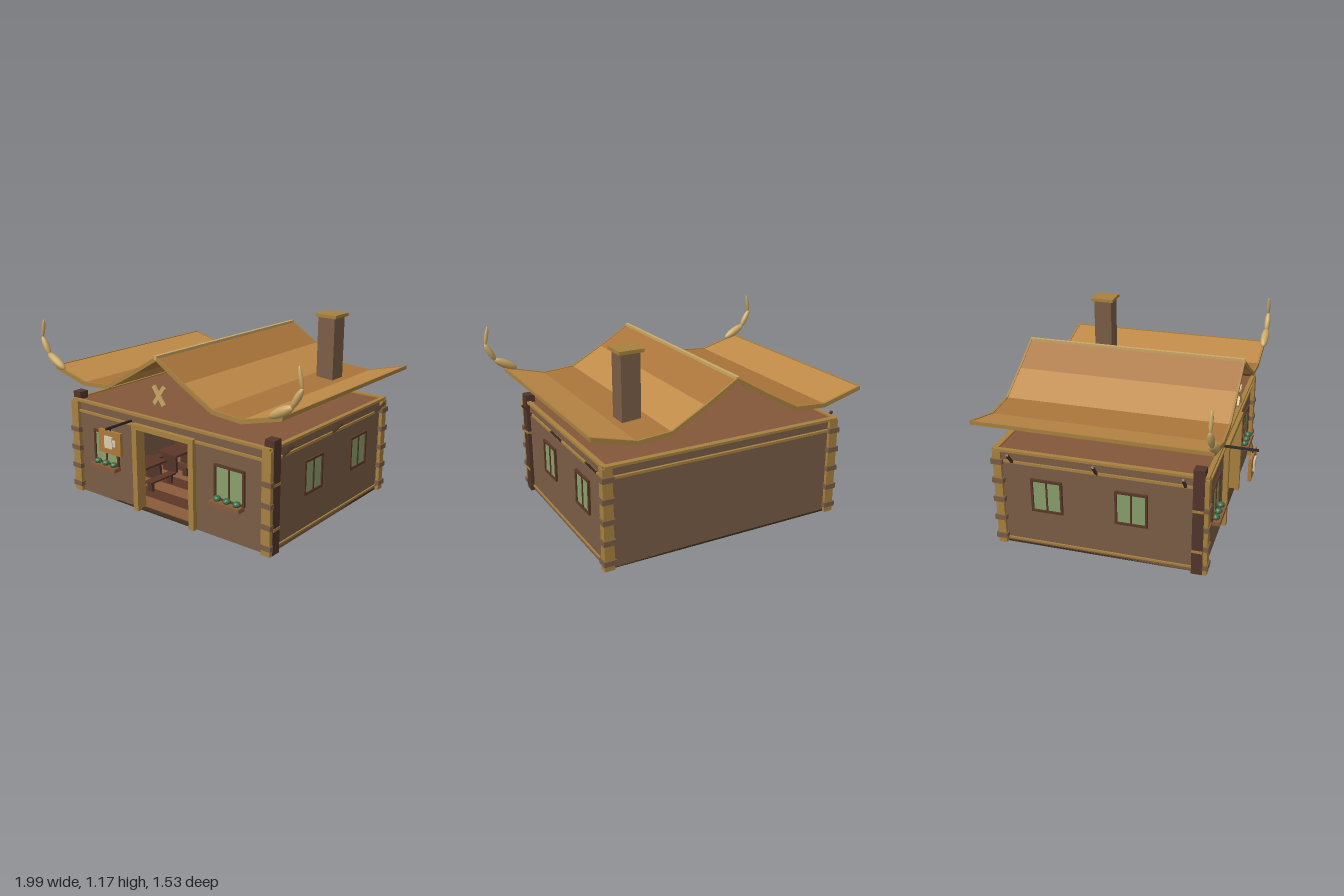
import * as THREE from 'three';

const C = {
  wall: 0x7a5d46, tan: 0xa8803f, dark: 0x51352a, frame: 0x5a3826, glass: 0x88a06c, floor: 0x40301f,
  plankA: 0x8a5c3a, plankB: 0x5c3626, ceil: 0x84583a, roofA: 0xbf8a48, roofB: 0xa9743a, horn: 0xc9a765,
  iron: 0x2c2c2c, leaf: 0x3c6b45, counter: 0x8a5a38, sign: 0xae7838, pale: 0xd8ccb0, glow: 0xe0a850,
};
const mats = {};
const mat = (c) => (mats[c] ??= new THREE.MeshStandardMaterial({ color: C[c], flatShading: c !== 'horn' }));

function add(parent, name, geo, c, x = 0, y = 0, z = 0) {
  const m = new THREE.Mesh(geo, mat(c));
  m.name = name;
  m.position.set(x, y, z);
  parent.add(m);
  return m;
}
// Box given by its min and max on each axis
const box = (p, name, c, x0, x1, y0, y1, z0, z1) =>
  add(p, name, new THREE.BoxGeometry(x1 - x0, y1 - y0, z1 - z0), c, (x0 + x1) / 2, (y0 + y1) / 2, (z0 + z1) / 2);
// Same box on both sides of x = 0
function pair(p, name, c, x0, x1, ...r) {
  box(p, name, c, x0, x1, ...r);
  box(p, name, c, -x1, -x0, ...r);
}
function group(parent, name) {
  const g = new THREE.Group();
  g.name = name;
  parent.add(g);
  return g;
}

// Two-pane window facing +z, centred on its origin
function makeWindow(parent, w, h) {
  const g = group(parent, 'window'), t = 0.014;
  box(g, 'glass', 'glass', -w / 2, w / 2, -h / 2, h / 2, 0, 0.006);
  for (const s of [-1, 1]) {
    box(g, 'frameSide', 'frame', s * w / 2 - t / 2, s * w / 2 + t / 2, -h / 2 - t / 2, h / 2 + t / 2, 0, 0.014);
    box(g, 'frameRail', 'frame', -w / 2, w / 2, s * h / 2 - t / 2, s * h / 2 + t / 2, 0, 0.014);
  }
  box(g, 'mullion', 'frame', -0.005, 0.005, -h / 2, h / 2, 0, 0.012);
  return g;
}

function buildWalls(root) {
  const g = group(root, 'walls');
  // Front wall with doorway
  const s = new THREE.Shape();
  [[-0.75, 0], [-0.21, 0], [-0.21, 0.54], [0.21, 0.54], [0.21, 0], [0.75, 0], [0.75, 0.615], [-0.75, 0.615]]
    .forEach(([x, y], i) => (i ? s.lineTo(x, y) : s.moveTo(x, y)));
  add(g, 'frontWall', new THREE.ExtrudeGeometry(s, { depth: 0.03, bevelEnabled: false }), 'wall', 0, 0, 0.525);
  box(g, 'backWall', 'wall', -0.75, 0.75, 0, 0.615, -0.67, -0.64);
  pair(g, 'sideWall', 'wall', 0.73, 0.76, 0, 0.615, -0.66, 0.55);
  box(g, 'base', 'floor', -0.76, 0.76, 0, 0.012, -0.67, 0.555);
  box(g, 'ceiling', 'ceil', -0.75, 0.75, 0.6, 0.617, -0.67, 0.55);
  // Horizontal trim beams
  for (const [y0, y1, e] of [[0.54, 0.555, 0.012], [0.61, 0.625, 0.02]]) {
    box(g, 'frontBeam', 'tan', -0.77, 0.77, y0, y1, 0.55, 0.556 + e);
    box(g, 'backBeam', 'tan', -0.77, 0.77, y0, y1, -0.675 - e, -0.66);
    pair(g, 'sideBeam', 'tan', 0.75, 0.758 + e, y0, y1, -0.68, 0.56);
  }
  pair(g, 'sillBeam', 'tan', 0.755, 0.769, 0.027, 0.038, -0.64, 0.5);
  // Corner posts with log ends
  pair(g, 'frontCornerPost', 'dark', 0.722, 0.784, 0, 0.665, 0.49, 0.555);
  pair(g, 'frontCornerBoard', 'tan', 0.722, 0.782, 0, 0.61, 0.555, 0.58);
  pair(g, 'backCornerPost', 'tan', 0.722, 0.782, 0, 0.61, -0.69, -0.64);
  for (let i = 0; i < 5; i++) {
    const y = 0.05 + i * 0.124;
    if (i < 4) pair(g, 'frontLogEnd', 'wall', 0.715, 0.79, y - 0.015, y + 0.015, 0.556, 0.587);
    pair(g, 'backLogEnd', 'wall', 0.715, 0.79, y - 0.016, y + 0.016, -0.7, -0.63);
  }
  for (const y of [0.15, 0.41]) pair(g, 'postBand', 'tan', 0.722, 0.787, y - 0.008, y + 0.008, 0.49, 0.553);
  // Slanted roof struts
  for (const z of [0.445, -0.065, -0.575]) for (const k of [-1, 1]) {
    const m = add(g, 'strut', new THREE.BoxGeometry(0.014, 0.1, 0.014), 'dark', k * 0.795, 0.582, z);
    m.rotation.z = -k * 0.7;
  }
}

function buildOpenings(root) {
  const g = group(root, 'openings');
  pair(g, 'doorPost', 'tan', 0.205, 0.243, 0, 0.56, 0.515, 0.586);
  box(g, 'doorLintel', 'tan', -0.243, 0.243, 0.53, 0.562, 0.52, 0.586);
  for (const k of [-1, 1]) {
    makeWindow(g, 0.2, 0.2).position.set(k * 0.49, 0.345, 0.555);
    const cx = k * 0.485;
    box(g, 'flowerBox', 'counter', cx - 0.108, cx + 0.108, 0.215, 0.24, 0.555, 0.612);
    for (let i = -1; i <= 1; i++) {
      const leaf = add(g, 'plant', new THREE.IcosahedronGeometry(0.024, 1), 'leaf', cx + i * 0.07, 0.252, 0.58);
      leaf.scale.y = 0.8;
    }
    for (const z of [0.135, -0.372]) {
      const w = makeWindow(g, 0.178, 0.198);
      w.position.set(k * 0.76, 0.35, z);
      w.rotation.y = k * Math.PI / 2;
    }
  }
}

function buildInterior(root) {
  const g = group(root, 'interior');
  // Floor planks running across
  for (let i = 0; i < 10; i++) {
    const z = -0.64 + i * 0.1165;
    box(g, 'floorPlank', i % 2 ? 'plankA' : 'plankB', -0.73, 0.73, 0.012, 0.018, z, z + 0.1165);
  }
  // Bar counter
  box(g, 'counter', 'counter', -0.37, 0.37, 0.018, 0.18, -0.48, -0.38);
  box(g, 'counterTop', 'dark', -0.39, 0.39, 0.18, 0.198, -0.5, -0.36);
  for (const x of [-0.18, 0, 0.18]) box(g, 'counterSeam', 'frame', x - 0.004, x + 0.004, 0.018, 0.18, -0.38, -0.377);
  // Tables with benches along both sides
  for (const k of [-1, 1]) for (const z of [-0.1, 0.24]) {
    const t = group(g, 'tableSet');
    t.position.set(k * 0.48, 0, z);
    box(t, 'tableTop', 'plankB', -0.085, 0.085, 0.14, 0.155, -0.12, 0.12);
    for (const s of [-1, 1]) {
      box(t, 'tableLeg', 'dark', -0.06, 0.06, 0.018, 0.14, s * 0.09 - 0.01, s * 0.09 + 0.01);
      box(t, 'bench', 'plankB', s * 0.14 - 0.03, s * 0.14 + 0.03, 0.075, 0.087, -0.12, 0.12);
      for (const e of [-1, 1])
        box(t, 'benchLeg', 'dark', s * 0.14 - 0.02, s * 0.14 + 0.02, 0.018, 0.075, e * 0.09 - 0.01, e * 0.09 + 0.01);
    }
  }
  // Hanging lantern
  const l = group(g, 'lantern');
  l.position.set(0, 0.445, 0.3);
  box(l, 'lanternGlow', 'glow', -0.02, 0.02, -0.03, 0.03, -0.02, 0.02);
  for (const y of [-0.035, 0.035]) box(l, 'lanternPlate', 'iron', -0.027, 0.027, y - 0.005, y + 0.005, -0.027, 0.027);
  for (const x of [-1, 1]) for (const z of [-1, 1])
    box(l, 'lanternBar', 'iron', x * 0.024 - 0.003, x * 0.024 + 0.003, -0.035, 0.035, z * 0.024 - 0.003, z * 0.024 + 0.003);
  box(l, 'lanternRod', 'iron', -0.003, 0.003, 0.035, 0.155, -0.003, 0.003);
}

function buildRoof(root) {
  const g = group(root, 'roof');
  const pts = [[0, 1.01], [0.2, 0.89], [0.405, 0.777], [0.61, 0.762], [0.87, 0.83]];
  const strip = (name, c, a, b, t, z0, z1, lift) => {
    const s = new THREE.Shape();
    s.moveTo(a[0], a[1] + lift);
    s.lineTo(a[0], a[1] - t);
    s.lineTo(b[0], b[1] - t);
    s.lineTo(b[0], b[1] + lift);
    add(g, name, new THREE.ExtrudeGeometry(s, { depth: z1 - z0, bevelEnabled: false }), c, 0, 0, z0);
  };
  for (const k of [-1, 1]) {
    for (let i = 0; i < 4; i++) {
      let a = [k * pts[i][0], pts[i][1]], b = [k * pts[i + 1][0], pts[i + 1][1]];
      if (k < 0) [a, b] = [b, a];
      strip('roofPanel', i % 2 ? 'roofA' : 'roofB', a, b, 0.016, -0.75, 0.605, 0);
      strip('frontVerge', 'tan', a, b, 0.022, 0.604, 0.616, 0.004);
      strip('backVerge', 'tan', a, b, 0.022, -0.762, -0.749, 0.004);
    }
    // Curved three-part horn at each front corner
    const path = [[0.8, 0.822], [0.928, 0.892], [0.985, 0.995], [0.963, 1.11]];
    [0.028, 0.02, 0.012].forEach((r, i) => {
      const [x0, y0] = path[i], [x1, y1] = path[i + 1];
      const len = Math.hypot(x1 - x0, y1 - y0);
      const h = add(g, 'horn', new THREE.SphereGeometry(1, 12, 10), 'horn', k * (x0 + x1) / 2, (y0 + y1) / 2, 0.612);
      h.scale.set(r, len / 2 + 0.012 - i * 0.004, r);
      h.rotation.z = -k * Math.atan2(x1 - x0, y1 - y0);
    });
    // Crossed gable ornament
    const bar = add(g, 'crossBar', new THREE.BoxGeometry(0.025, 0.132, 0.014), 'horn', 0, 0.782, 0.594 + k * 0.002);
    bar.rotation.z = k * 0.62;
  }
  pair(g, 'eaveTrim', 'tan', 0.862, 0.872, 0.81, 0.832, -0.755, 0.61);
  box(g, 'ridgeBeam', 'horn', -0.011, 0.011, 0.995, 1.02, -0.76, 0.618);
  box(g, 'chimney', 'wall', 0.45, 0.567, 0.69, 1.155, -0.487, -0.37);
  box(g, 'chimneyCap', 'tan', 0.434, 0.583, 1.153, 1.173, -0.503, -0.354);
}

function buildSign(root) {
  const g = group(root, 'hangingSign');
  g.position.x = -0.272;
  box(g, 'signRod', 'iron', -0.006, 0.006, 0.56, 0.573, 0.55, 0.765);
  box(g, 'signHanger', 'iron', -0.004, 0.004, 0.54, 0.565, 0.726, 0.734);
  box(g, 'signBoard', 'sign', -0.091, 0.091, 0.405, 0.547, 0.72, 0.74);
  box(g, 'mug', 'pale', -0.035, 0.03, 0.442, 0.515, 0.74, 0.75);
  box(g, 'mugHandle', 'pale', 0.03, 0.052, 0.458, 0.498, 0.74, 0.746);
}

export function createModel() {
  const root = new THREE.Group();
  root.name = 'timberTavern';
  buildWalls(root);
  buildOpenings(root);
  buildInterior(root);
  buildRoof(root);
  buildSign(root);
  return root;
}
